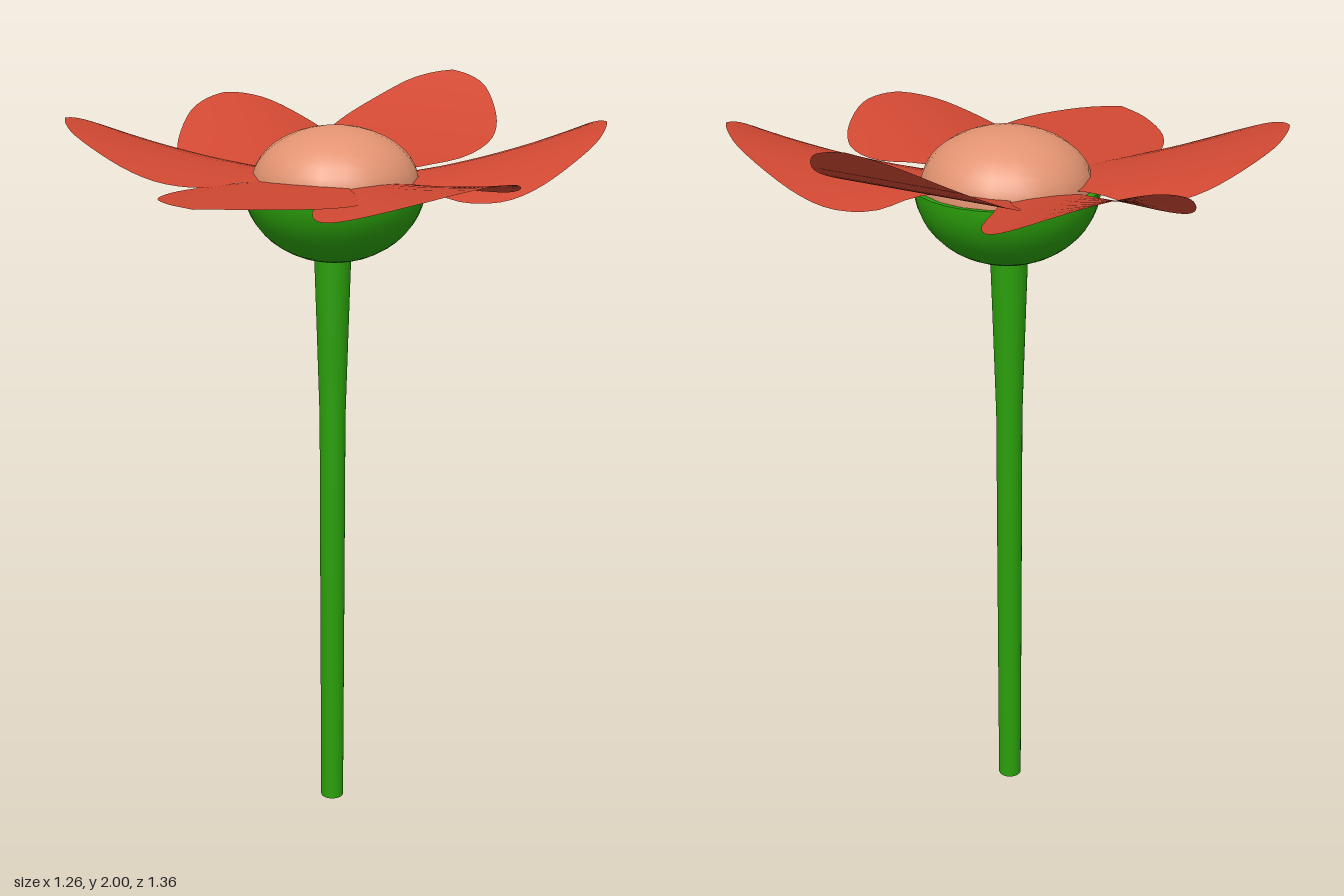
import * as THREE from 'three';

const CENTER_Z = -0.03;
const BASE_Y = 1.78;

// Half-outlines: (half width, fraction of petal length)
const outline = pts => new THREE.SplineCurve(pts.map(p => new THREE.Vector2(...p)));
const ROUND = outline([[0.04, 0.06], [0.13, 0.3], [0.215, 0.44], [0.247, 0.58], [0.235, 0.7], [0.19, 0.82], [0.125, 0.93], [0.06, 0.98], [0, 1]]);
const POINTED = outline([[0.05, 0.06], [0.14, 0.28], [0.22, 0.42], [0.245, 0.56], [0.2, 0.75], [0.1, 0.91], [0, 1]]);

// A thin leaf swept from the flower centre to its tip, rising, arched and rolled sideways
function petalGeometry({ tip, shape, rise, bend, cup, roll, lift }) {
  const dir = new THREE.Vector2(tip[0], tip[1] - CENTER_Z);
  const length = dir.length();
  dir.normalize();
  const geo = new THREE.PlaneGeometry(2, 1, 10, 24);
  const pos = geo.attributes.position;
  for (let i = 0; i < pos.count; i++) {
    const u = pos.getX(i);
    const p = shape.getPoint(THREE.MathUtils.clamp(pos.getY(i) + 0.5, 0, 1));
    const t = p.y, across = u * Math.max(p.x, 0), along = t * length;
    const w = across / 0.245;
    pos.setXYZ(i,
      dir.x * along - dir.y * across,
      BASE_Y + lift + rise * Math.pow(t, bend) + cup * w * w + roll * w * t,
      CENTER_Z + dir.y * along + dir.x * across);
  }
  geo.computeVertexNormals();
  return geo;
}

export function createModel() {
  const group = new THREE.Group();
  const material = (name, color, side = THREE.FrontSide) => {
    const m = new THREE.MeshStandardMaterial({ color, side });
    m.name = name;
    return m;
  };
  const green = material('green', 0x2ba00b);
  const red = material('petalRed', 0xd04832, THREE.DoubleSide);
  const peach = material('peach', 0xe29371);

  const add = (name, geo, mat, x = 0, y = 0, z = 0) => {
    const mesh = new THREE.Mesh(geo, mat);
    mesh.name = name;
    mesh.position.set(x, y, z);
    group.add(mesh);
    return mesh;
  };
  const lathe = (pts, n) => new THREE.LatheGeometry(pts.map(p => new THREE.Vector2(...p)), n);

  // Stem widening under the flower, with a closed foot
  add('stem', lathe([[0.032, 0], [0.034, 0.7], [0.035, 1.15], [0.042, 1.38], [0.049, 1.6]], 20), green, 0, 0, -0.021);
  const foot = add('stemFoot', new THREE.CircleGeometry(0.032, 20), green, 0, 0, -0.021);
  foot.rotation.x = Math.PI / 2;

  // Green cup beneath the petals
  const cup = add('calyx', new THREE.SphereGeometry(0.234, 32, 12, 0, Math.PI * 2, Math.PI / 2, Math.PI / 2), green, 0.004, 1.77, -0.022);
  cup.scale.y = 0.84;
  const lid = add('calyxTop', new THREE.CircleGeometry(0.234, 32), green, 0.004, 1.77, -0.022);
  lid.rotation.x = -Math.PI / 2;

  // Domed flower centre
  const dome = add('flowerCentre', new THREE.SphereGeometry(0.217, 20, 10, 0, Math.PI * 2, 0, Math.PI / 2), peach, 0.002, 1.771, CENTER_Z);
  dome.scale.y = 0.68;

  // Six overlapping petals
  const petals = {
    backPetal: { tip: [0.03, -0.68], shape: ROUND, rise: 0.217, bend: 2.3, cup: 0, roll: 0, lift: 0.003 },
    frontPetal: { tip: [0.03, 0.68], shape: POINTED, rise: 0.036, bend: 0.8, cup: -0.014, roll: -0.006, lift: 0.006 },
    backLeftPetal: { tip: [0.605, -0.36], shape: ROUND, rise: 0.148, bend: 1.8, cup: -0.06, roll: -0.012, lift: 0 },
    frontLeftPetal: { tip: [0.575, 0.37], shape: ROUND, rise: 0.078, bend: 1.6, cup: -0.04, roll: -0.025, lift: 0.006 },
    frontRightPetal: { tip: [-0.62, 0.267], shape: ROUND, rise: 0.148, bend: 1.7, cup: -0.035, roll: 0, lift: 0.005 },
    backRightPetal: { tip: [-0.575, -0.43], shape: ROUND, rise: 0.15, bend: 1.8, cup: -0.05, roll: 0.015, lift: 0 },
  };
  for (const [name, spec] of Object.entries(petals)) add(name, petalGeometry(spec), red);

  return group;
}
